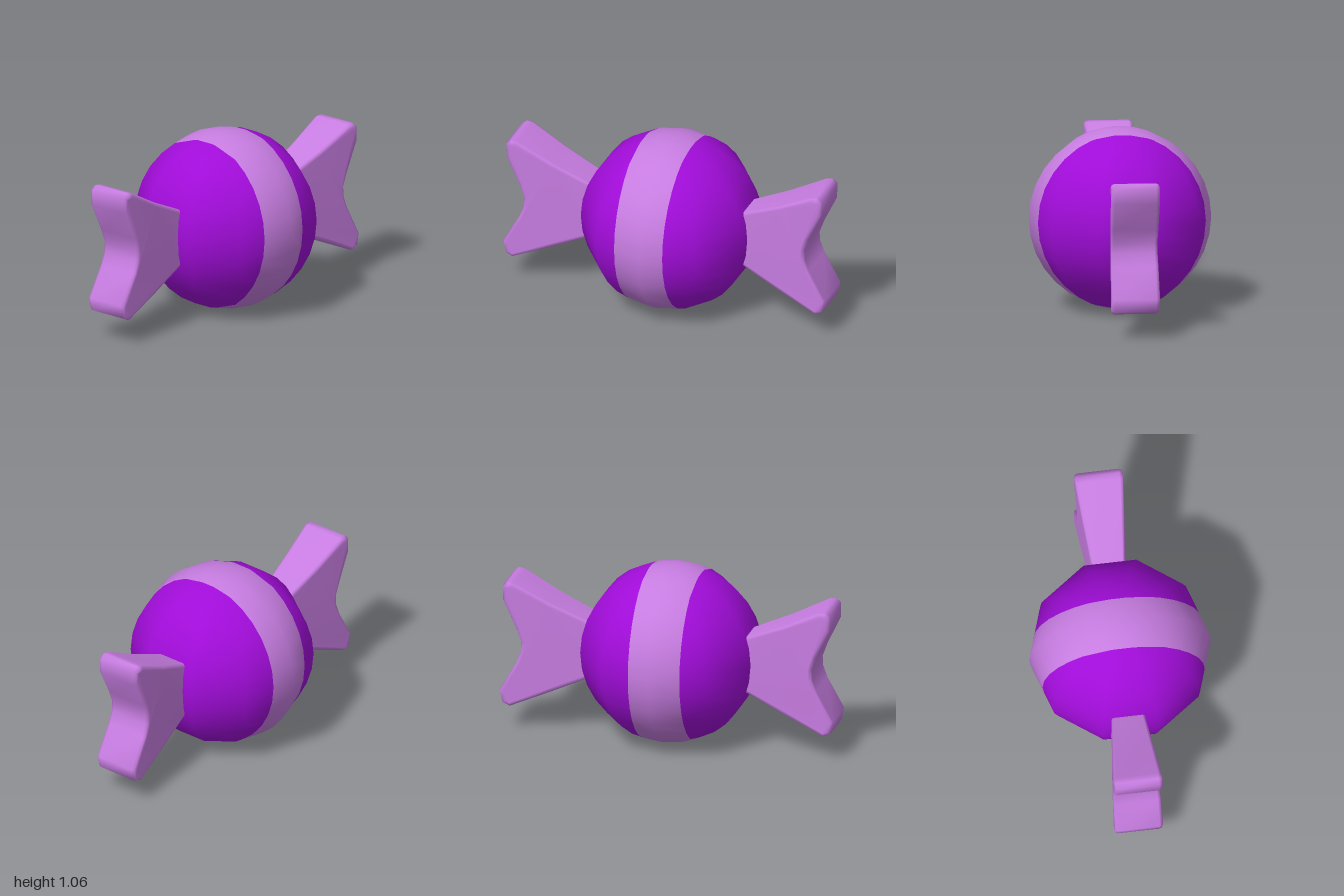
import * as THREE from 'three';
import { mergeVertices } from 'three/addons/utils/BufferGeometryUtils.js';

const RADIUS = 0.53;

// Keep the part of a convex polygon where sign * (x - limit) >= 0
function clipX(poly, limit, sign) {
  const out = [];
  poly.forEach((a, i) => {
    const b = poly[(i + 1) % poly.length];
    const da = sign * (a.x - limit), db = sign * (b.x - limit);
    if (da >= 0) out.push(a);
    if ((da > 0 && db < 0) || (da < 0 && db > 0)) out.push(a.clone().lerp(b, da / (da - db)));
  });
  return out;
}

// Slice of the faceted, smooth-shaded ball between two x planes
function ballSlice(x0, x1) {
  const ball = new THREE.SphereGeometry(RADIUS, 10, 16).rotateY(Math.PI / 10).toNonIndexed();
  const p = ball.attributes.position, pos = [], nor = [];
  for (let i = 0; i < p.count; i += 3) {
    let poly = [0, 1, 2].map(k => new THREE.Vector3().fromBufferAttribute(p, i + k));
    poly = clipX(clipX(poly, x0, 1), x1, -1);
    for (let k = 1; k + 1 < poly.length; k++) {
      for (const v of [poly[0], poly[k], poly[k + 1]]) {
        pos.push(v.x, v.y, v.z);
        nor.push(...v.clone().normalize().toArray());
      }
    }
  }
  const g = new THREE.BufferGeometry();
  g.setAttribute('position', new THREE.Float32BufferAttribute(pos, 3));
  g.setAttribute('normal', new THREE.Float32BufferAttribute(nor, 3));
  return g;
}

// Forked wrapper end: bevelled outline that thickens towards the tips
function wrapperGeometry() {
  const outline = [
    [0.42, 0.375], [0.48, 0.35], [0.7, 0.25], [0.94, 0.145], [0.985, 0.165], [1.0, 0.24],
    [0.9, 0.42], [0.875, 0.49], [0.872, 0.55], [0.9, 0.63], [0.98, 0.8], [0.982, 0.89],
    [0.95, 0.915], [0.915, 0.91], [0.7, 0.8], [0.48, 0.705], [0.42, 0.68],
  ].map(([x, y]) => new THREE.Vector2(x, y));
  let g = new THREE.ExtrudeGeometry(new THREE.Shape(outline), {
    depth: 1.7, bevelEnabled: true, bevelThickness: 0.15, bevelSize: 0.022,
    bevelOffset: -0.022, bevelSegments: 2,
  });
  g.translate(0, 0, -0.85);
  const p = g.attributes.position;
  for (let i = 0; i < p.count; i++) {
    const t = THREE.MathUtils.clamp((p.getX(i) - 0.48) / 0.42, 0, 1);
    p.setZ(i, p.getZ(i) * THREE.MathUtils.lerp(0.098, 0.142, t));
  }
  g.deleteAttribute('uv');
  g.deleteAttribute('normal');
  g = mergeVertices(g, 1e-4);
  g.computeVertexNormals();
  return g;
}

export function createModel() {
  const purple = new THREE.MeshStandardMaterial({ color: 0xa00cd8 });
  purple.name = 'purple';
  const lilac = new THREE.MeshStandardMaterial({ color: 0xc67ce0 });
  lilac.name = 'lilac';

  const model = new THREE.Group();
  model.name = 'wrappedCandy';
  const add = (name, geometry, material, parent) => {
    const mesh = new THREE.Mesh(geometry, material);
    mesh.name = name;
    parent.add(mesh);
    return mesh;
  };

  // Ball with a central stripe
  const ball = new THREE.Group();
  ball.name = 'ball';
  ball.position.set(0.005, RADIUS, 0);
  model.add(ball);
  add('ballRight', ballSlice(-1, -0.175), purple, ball);
  add('stripe', ballSlice(-0.175, 0.13), lilac, ball);
  add('ballLeft', ballSlice(0.13, 1), purple, ball);

  // Twisted wrapper ends on both sides
  const wrapper = wrapperGeometry();
  add('wrapperLeft', wrapper, lilac, model).position.z = -0.01;
  const right = add('wrapperRight', wrapper, lilac, model);
  right.rotation.y = Math.PI;
  right.position.z = -0.01;
  return model;
}
